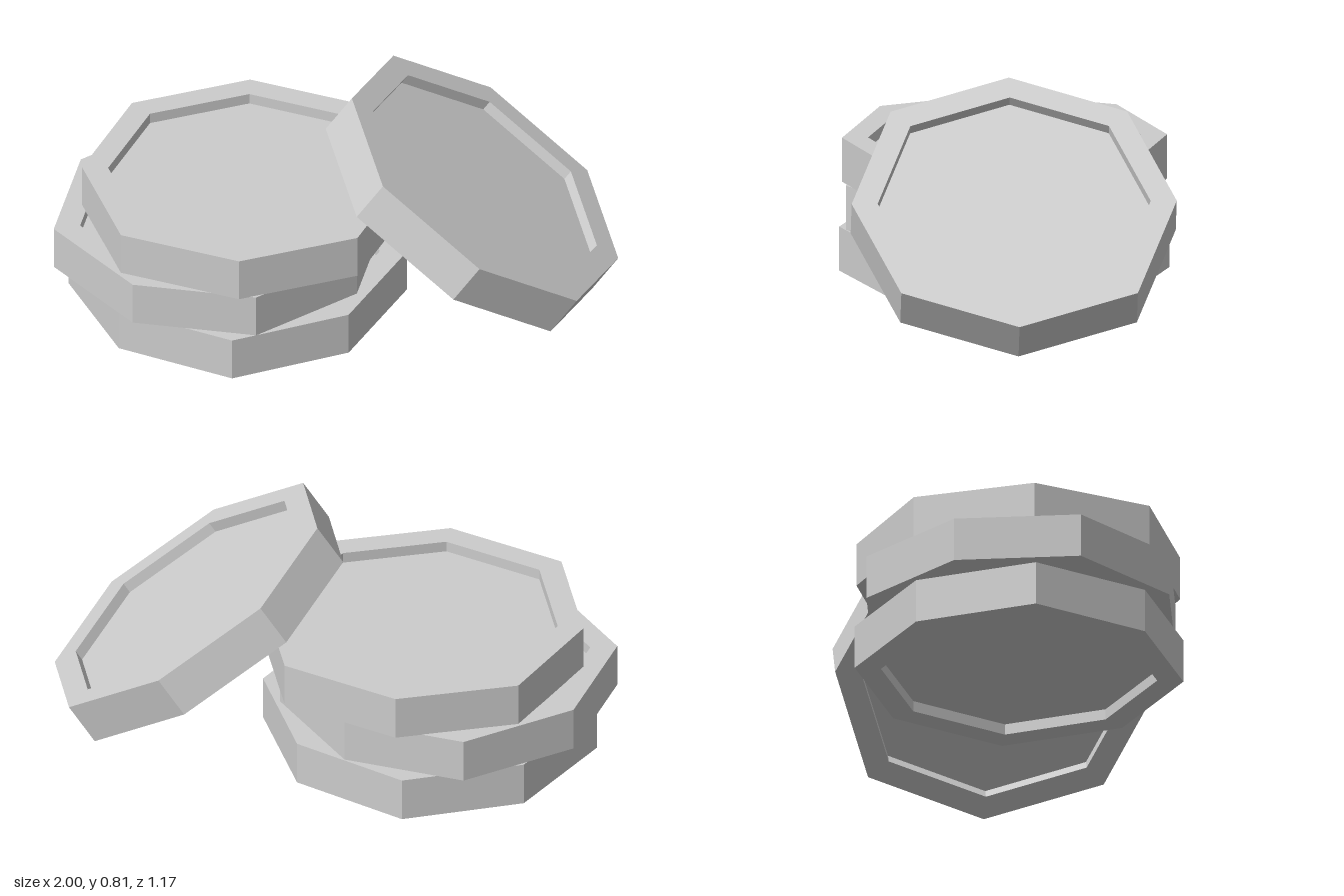
import * as THREE from 'three';

const THICKNESS = 0.162;
const RECESS = 0.04;
const RIM = 0.84; // inner rim radius as a share of the outer radius

// Radii of the slightly uneven octagon, repeating every half turn from +z
const RADII = [0.578, 0.587, 0.578, 0.602];

// Flat-sided octagonal disc, recessed on both faces
function coinGeometry() {
  const h = THICKNESS / 2;
  const profile = [
    [0, -h + RECESS], [RIM, -h + RECESS], [RIM, -h],
    [1, -h], [1, h],
    [RIM, h], [RIM, h - RECESS], [0, h - RECESS],
  ].map(([r, y]) => new THREE.Vector2(r, y));

  const lathe = new THREE.LatheGeometry(profile, 8);
  const pos = lathe.attributes.position;
  for (let i = 0; i < pos.count; i++) {
    // Vertices come in columns, one per corner of the octagon
    const radius = RADII[Math.floor(i / profile.length) % 4];
    pos.setX(i, pos.getX(i) * radius);
    pos.setZ(i, pos.getZ(i) * radius);
  }
  const flat = lathe.toNonIndexed();
  flat.computeVertexNormals();
  return flat;
}

export function createModel() {
  const group = new THREE.Group();
  group.name = 'coinPile';

  const metal = new THREE.MeshStandardMaterial({ color: 0xcccccc });
  metal.name = 'silver';
  const geometry = coinGeometry();

  // name, centre x, centre y, turn about y, tilt about z (degrees)
  const coins = [
    ['bottomCoin', -0.353, 0.082, -45, 0],
    ['middleCoin', -0.42, 0.255, -30, 0],
    ['topCoin', -0.328, 0.416, 0, 0],
    ['leaningCoin', 0.48, 0.417, 0, -35],
  ];
  for (const [name, x, y, turn, tilt] of coins) {
    const coin = new THREE.Mesh(geometry, metal);
    coin.name = name;
    coin.position.set(x, y, 0);
    coin.rotation.set(0, THREE.MathUtils.degToRad(turn), THREE.MathUtils.degToRad(tilt));
    group.add(coin);
  }
  return group;
}
